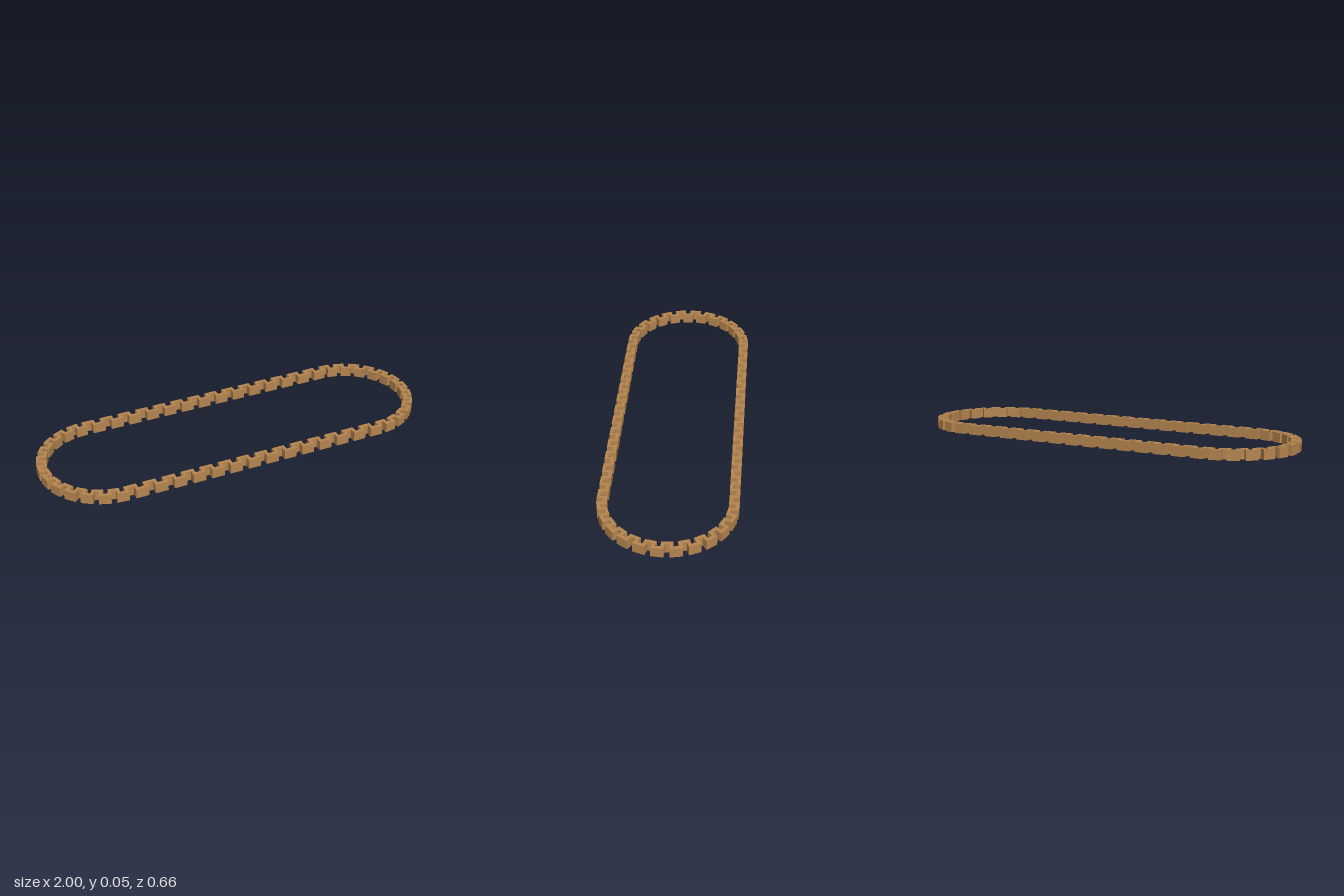
import * as THREE from 'three';

const HALF_STRAIGHT = 0.674; // x where the straights meet the round ends
const RADIUS = 0.303;        // mean radius of the round ends
const SWING = 0.016;         // how far the meander steps in and out
const THICKNESS = 0.0165;
const HEIGHT = 0.049;
const ARC_STEPS = 24;
const STRAIGHT_STEPS = 28;

// Right-hand unit normal of the line a-b
const normal = (a, b) => new THREE.Vector2(b.y - a.y, a.x - b.x).normalize();

// Evenly stepped stadium loop in plan (x, z)
function stadiumPath() {
  const half = [];
  for (let i = 0; i < ARC_STEPS; i++) {
    const a = -Math.PI / 2 + (Math.PI * i) / ARC_STEPS;
    half.push(new THREE.Vector2(HALF_STRAIGHT + RADIUS * Math.cos(a), RADIUS * Math.sin(a)));
  }
  for (let i = 0; i < STRAIGHT_STEPS; i++) {
    half.push(new THREE.Vector2(HALF_STRAIGHT * (1 - (2 * i) / STRAIGHT_STEPS), RADIUS));
  }
  // The other half is the same, turned by 180 degrees
  return [...half, ...half.map((p) => p.clone().negate())];
}

// Square wave along the loop: each step lies alternately outside and inside it,
// and each cross wall stands square to the step that follows it
function meanderPath() {
  const base = stadiumPath();
  const at = (i) => base[i % base.length];
  const shifted = (i, d) => normal(at(i), at(i + 1)).multiplyScalar(d).add(at(i));
  return base.flatMap((_, i) => {
    const d = i % 2 ? -SWING : SWING;
    return [shifted(i, d), shifted(i + 1, d)];
  });
}

// Mitred parallel of a closed path
function offsetPath(points, distance) {
  const n = points.length;
  return points.map((p, i) => {
    const n1 = normal(points[(i + n - 1) % n], p);
    const n2 = normal(p, points[(i + 1) % n]);
    const mitre = n1.clone().add(n2);
    return mitre.multiplyScalar(distance / (1 + n1.dot(n2))).add(p);
  });
}

export function createModel() {
  const group = new THREE.Group();
  group.name = 'meanderBorder';

  // Counter-clockwise plan outline with the inner edge as a hole, raised to the wall height
  const path = meanderPath().map((p) => new THREE.Vector2(p.x, -p.y)).reverse();
  const shape = new THREE.Shape(offsetPath(path, THICKNESS / 2));
  shape.holes.push(new THREE.Path(offsetPath(path, -THICKNESS / 2)));
  const geometry = new THREE.ExtrudeGeometry(shape, { depth: HEIGHT, bevelEnabled: false });
  geometry.rotateX(-Math.PI / 2);

  const wall = new THREE.Mesh(geometry, new THREE.MeshStandardMaterial({ color: 0xb5854f }));
  wall.name = 'meanderWall';
  group.add(wall);
  return group;
}
